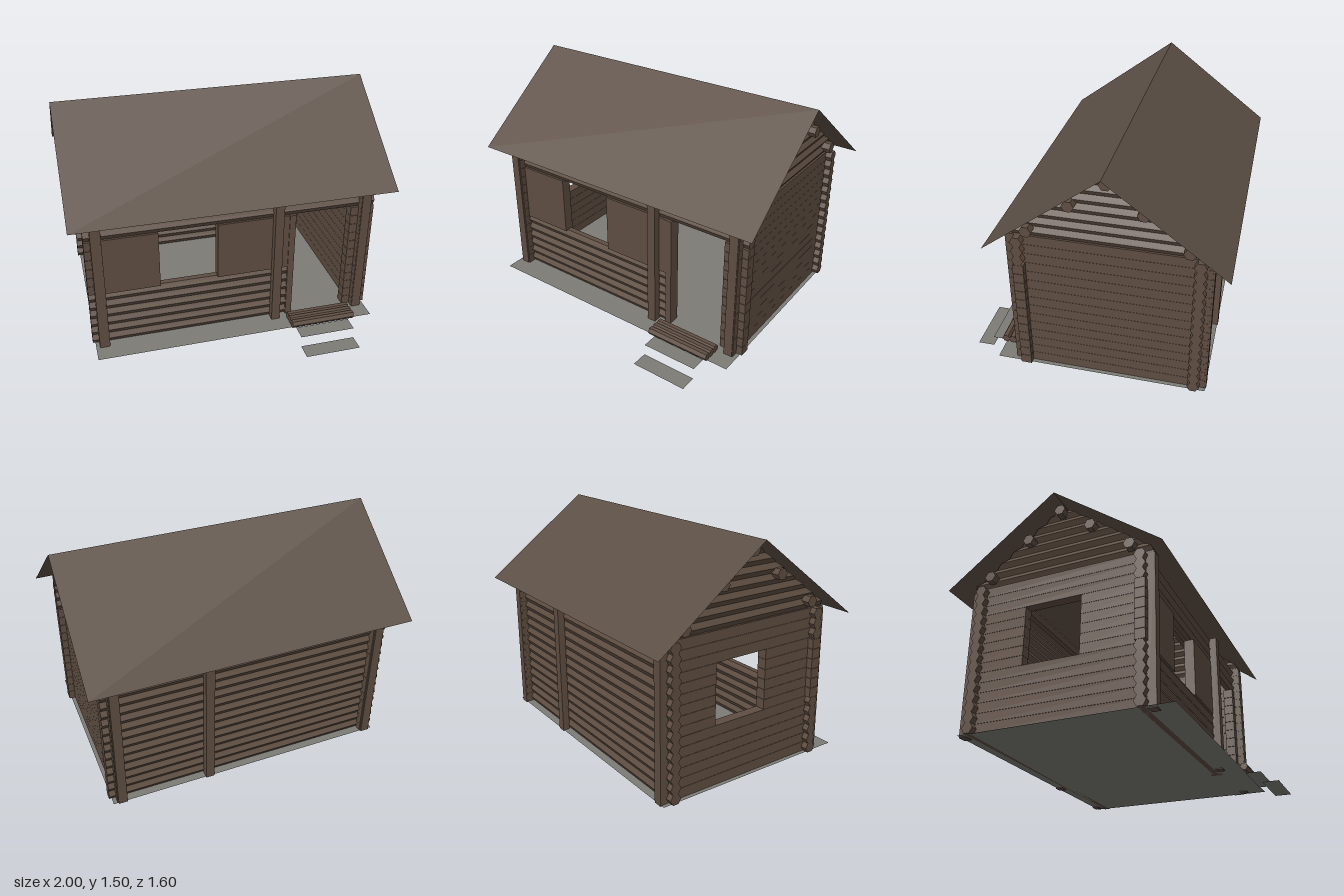
import * as THREE from 'three';

const mat = (name, color, side = THREE.FrontSide) => {
  const m = new THREE.MeshStandardMaterial({ color, side });
  m.name = name;
  return m;
};

export function createModel() {
  const wood = mat('log brown', 0x5e4d41);
  const roofing = mat('roof brown', 0x5c4f45, THREE.DoubleSide);
  const stone = mat('floor grey', 0x7c7b76, THREE.DoubleSide);
  const cabin = new THREE.Group();
  cabin.name = 'logCabin';

  const BASE = 0.08, STEP = 0.0625, ROWS = 15, R = STEP / Math.sqrt(3);
  const RIDGE_Z = -0.115, RIDGE_Y = 1.5, SLOPE = 0.76;
  const rowY = (i) => BASE + (i + 0.5) * STEP;

  const add = (name, geo, material, parent = cabin) => {
    const m = new THREE.Mesh(geo, material);
    m.name = name;
    parent.add(m);
    return m;
  };
  const group = (name) => {
    const g = new THREE.Group();
    g.name = name;
    cabin.add(g);
    return g;
  };
  // box given by its limits on each axis
  const box = (name, [x0, x1], [y0, y1], [z0, z1], parent) => {
    const g = new THREE.BoxGeometry(x1 - x0, y1 - y0, z1 - z0);
    g.translate((x0 + x1) / 2, (y0 + y1) / 2, (z0 + z1) / 2);
    return add(name, g, wood, parent);
  };
  // faceted six-sided log running along x
  const log = (name, x0, x1, y, z, parent, r = R) => {
    let g = new THREE.CylinderGeometry(r, r, x1 - x0, 6);
    g.rotateZ(Math.PI / 2);
    g.translate((x0 + x1) / 2, y, z);
    g = g.toNonIndexed();
    g.computeVertexNormals();
    return add(name, g, wood, parent);
  };

  // back wall of faceted logs
  const back = group('backWall');
  for (let i = 0; i < ROWS; i++) log('backLog', -0.915, 0.915, rowY(i), -0.63, back);

  // front wall: logs below and above, flat panels beside the window, short logs beside the door
  const front = group('frontWall');
  const FZ = [0.37, 0.435];
  for (let i = 0; i < ROWS; i++) {
    if (i >= 12) log('upperFrontLog', -0.915, 0.915, rowY(i), 0.402, front);
    else {
      if (i < 6) log('lowerFrontLog', -0.915, 0.39, rowY(i), 0.402, front);
      else box('frontLogEnd', [-0.915, -0.82], [rowY(i) - 0.03, rowY(i) + 0.03], FZ, front);
      box('doorSideLog', [0.76, 0.915], [rowY(i) - 0.03, rowY(i) + 0.03], FZ, front);
    }
  }
  box('leftPanel', [-0.82, -0.47], [0.45, 0.83], FZ, front);
  box('middlePanel', [-0.105, 0.39], [0.45, 0.83], FZ, front);
  box('doorJamb', [0.355, 0.395], [BASE, 0.83], [0.365, 0.44], front);

  // side walls of squared logs; the -x wall has a window
  for (const s of [1, -1]) {
    const wall = group(s > 0 ? 'leftWall' : 'rightWall');
    const X = s > 0 ? [0.812, 0.875] : [-0.875, -0.812];
    for (let i = 0; i < ROWS; i++) {
      const Y = [rowY(i) - 0.0305, rowY(i) + 0.0305];
      if (s < 0 && i >= 6 && i < 12) {
        box('sideLog', X, Y, [-0.695, -0.33], wall);
        box('sideLog', X, Y, [0.03, 0.475], wall);
      } else box('sideLog', X, Y, [-0.695, 0.475], wall);
    }
  }

  // upright posts clamping the front and back walls
  for (const x of [-0.848, 0.275, 0.842]) {
    box('frontPost', [x - 0.028, x + 0.028], [0.075, 1.0], [0.43, 0.48]);
    box('backPost', [x - 0.028, x + 0.028], [0.075, 1.0], [-0.705, -0.66]);
  }

  // gable logs with ends cut to the roof slope
  const gables = group('gables');
  for (const s of [1, -1]) {
    for (let i = 0; i < 7; i++) {
      let g = new THREE.CylinderGeometry(R, R, 2, 6);
      g.rotateX(Math.PI / 2);
      g.rotateZ(Math.PI / 2);
      g.translate(s * 0.845, rowY(ROWS + i), 0);
      const p = g.attributes.position;
      for (let k = 0; k < p.count; k++) {
        const half = Math.max(0, (RIDGE_Y - 0.015 - p.getY(k)) / SLOPE);
        p.setZ(k, RIDGE_Z + Math.sign(p.getZ(k)) * Math.min(half, 0.585));
      }
      g = g.toNonIndexed();
      g.computeVertexNormals();
      add('gableLog', g, wood, gables);
    }
  }

  // purlins carrying the roof
  for (const [y, z] of [[1.43, RIDGE_Z], [1.27, 0.09], [1.27, -0.32], [1.07, 0.34], [1.07, -0.57]])
    log('purlin', -0.92, 0.92, y, z);

  // thin gabled roof
  const eaveY = 0.98, zf = 0.57, zb = -0.8;
  for (const [name, z] of [['frontRoof', zf], ['backRoof', zb]]) {
    const a = [-1, eaveY, z], b = [1, eaveY, z], c = [1, RIDGE_Y, RIDGE_Z], d = [-1, RIDGE_Y, RIDGE_Z];
    const corners = z > 0 ? [a, b, c, a, c, d] : [b, a, d, b, d, c];
    const g = new THREE.BufferGeometry();
    g.setAttribute('position', new THREE.Float32BufferAttribute(corners.flat(), 3));
    g.computeVertexNormals();
    add(name, g, roofing);
  }

  // floor slab and entrance steps
  const slab = (name, x0, x1, y, z0, z1) => {
    const g = new THREE.PlaneGeometry(x1 - x0, z1 - z0);
    g.rotateX(-Math.PI / 2);
    g.translate((x0 + x1) / 2, y, (z0 + z1) / 2);
    add(name, g, stone);
  };
  slab('floor', -0.9, 0.9, 0.08, -0.7, 0.59);
  slab('upperStep', 0.38, 0.74, 0.07, 0.59, 0.69);
  slab('lowerStep', 0.38, 0.74, 0, 0.695, 0.8);

  // split logs forming the doorstep
  for (let i = 0; i < 3; i++) log('doorstepLog', 0.35, 0.77, 0.107, 0.5 + i * 0.045, cabin, 0.026);

  return cabin;
}
